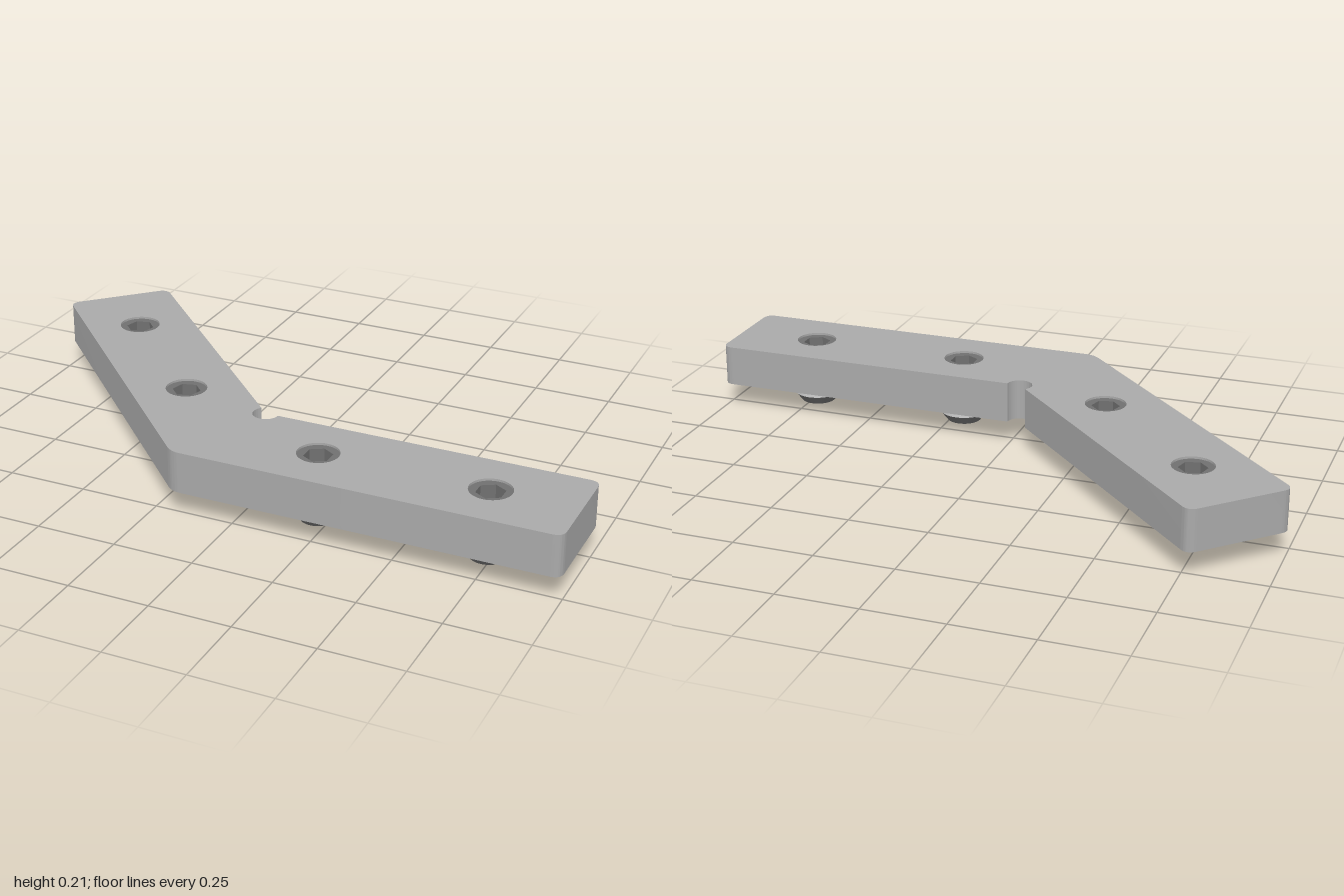
import * as THREE from 'three';
import { toCreasedNormals } from 'three/addons/utils/BufferGeometryUtils.js';

const PLATE_BOTTOM = 0.08, PLATE_TOP = 0.21, SCREW_TOP = 0.203;
const HOLE_R = 0.064, COLLAR_R = 0.078, HEX_R = 0.044;

// screw centres: x, z, turn
const SCREWS = [
  [-0.71, -0.24, Math.PI / 4],
  [-0.34, 0.13, Math.PI / 4],
  [0.21, 0.36, 0],
  [0.735, 0.36, 0],
];

function material(name, color) {
  const m = new THREE.MeshStandardMaterial({ color });
  m.name = name;
  return m;
}

function mesh(name, geometry, mat) {
  const m = new THREE.Mesh(geometry, mat);
  m.name = name;
  return m;
}

// Extrude a plan shape (x, -z) upwards between two heights
function slab(shape, y0, y1) {
  const g = new THREE.ExtrudeGeometry(shape, { depth: y1 - y0, bevelEnabled: false, curveSegments: 24 });
  g.rotateX(-Math.PI / 2).translate(0, y0, 0);
  return toCreasedNormals(g, 0.5);
}

function lathe(points, segments, crease) {
  const g = new THREE.LatheGeometry(points.map(([x, y]) => new THREE.Vector2(x, y)), segments);
  return toCreasedNormals(g, crease);
}

// Rounded corner at b, on the way from a to c
function corner(shape, a, b, c, trim) {
  const [pa, pb, pc] = [a, b, c].map(([x, y]) => new THREE.Vector2(x, y));
  const start = pa.sub(pb).setLength(trim).add(pb);
  const end = pc.sub(pb).setLength(trim).add(pb);
  shape.lineTo(start.x, start.y);
  shape.quadraticCurveTo(pb.x, pb.y, end.x, end.y);
}

// Bent plate with a round relief notch in the inner corner
function plateGeometry() {
  const elbow = [-0.18, -0.53], endFront = [1, -0.53], endBack = [1, -0.19];
  const notch = [-0.04, -0.19], armBack = [-0.7725, 0.5425], armFront = [-1.0125, 0.3025];
  const r = 0.04;
  const s = new THREE.Shape();
  s.moveTo(0.4, -0.53);
  corner(s, elbow, endFront, endBack, 0.033);
  corner(s, endFront, endBack, notch, 0.033);
  s.lineTo(notch[0] + r, notch[1]);
  s.absarc(notch[0], notch[1], r, 0, -1.25 * Math.PI, true);
  corner(s, notch, armBack, armFront, 0.033);
  corner(s, armBack, armFront, elbow, 0.033);
  corner(s, armFront, elbow, endFront, 0.03);
  s.closePath();
  for (const [x, z] of SCREWS) {
    s.holes.push(new THREE.Path().absarc(x, -z, HOLE_R, 0, Math.PI * 2, true));
  }
  return slab(s, PLATE_BOTTOM, PLATE_TOP);
}

// Screw body: round outside, hexagonal socket inside
function bodyGeometry() {
  const s = new THREE.Shape().absarc(0, 0, HOLE_R, 0, Math.PI * 2, false);
  const hex = [];
  for (let i = 0; i < 6; i++) {
    const a = Math.PI / 2 - i * Math.PI / 3;
    hex.push(new THREE.Vector2(HEX_R * Math.cos(a), HEX_R * Math.sin(a)));
  }
  s.holes.push(new THREE.Path(hex));
  return slab(s, PLATE_BOTTOM, SCREW_TOP);
}

export function createModel() {
  const plateGrey = material('plate grey', 0xaaaaaa);
  const collarGrey = material('light collar grey', 0xcfcfcf);
  const screwGrey = material('dark screw grey', 0x707070);

  const model = new THREE.Group();
  model.name = 'angledConnector';
  model.add(mesh('bentPlate', plateGeometry(), plateGrey));

  const body = bodyGeometry();
  const floor = lathe([[HEX_R, 0.125], [0, 0.1]], 6, 0.1);
  const collar = new THREE.CylinderGeometry(COLLAR_R, COLLAR_R, 0.05, 40).translate(0, 0.055, 0);
  const tip = lathe([[0, 0], [0.055, 0], [COLLAR_R, 0.03]], 40, 0.5);

  SCREWS.forEach(([x, z, turn], i) => {
    const screw = new THREE.Group();
    screw.name = `setScrew${i + 1}`;
    screw.position.set(x, 0, z);
    screw.rotation.y = turn;
    screw.add(
      mesh('screwBody', body, screwGrey),
      mesh('socketFloor', floor, screwGrey),
      mesh('collar', collar, collarGrey),
      mesh('chamferedTip', tip, screwGrey),
    );
    model.add(screw);
  });
  return model;
}
